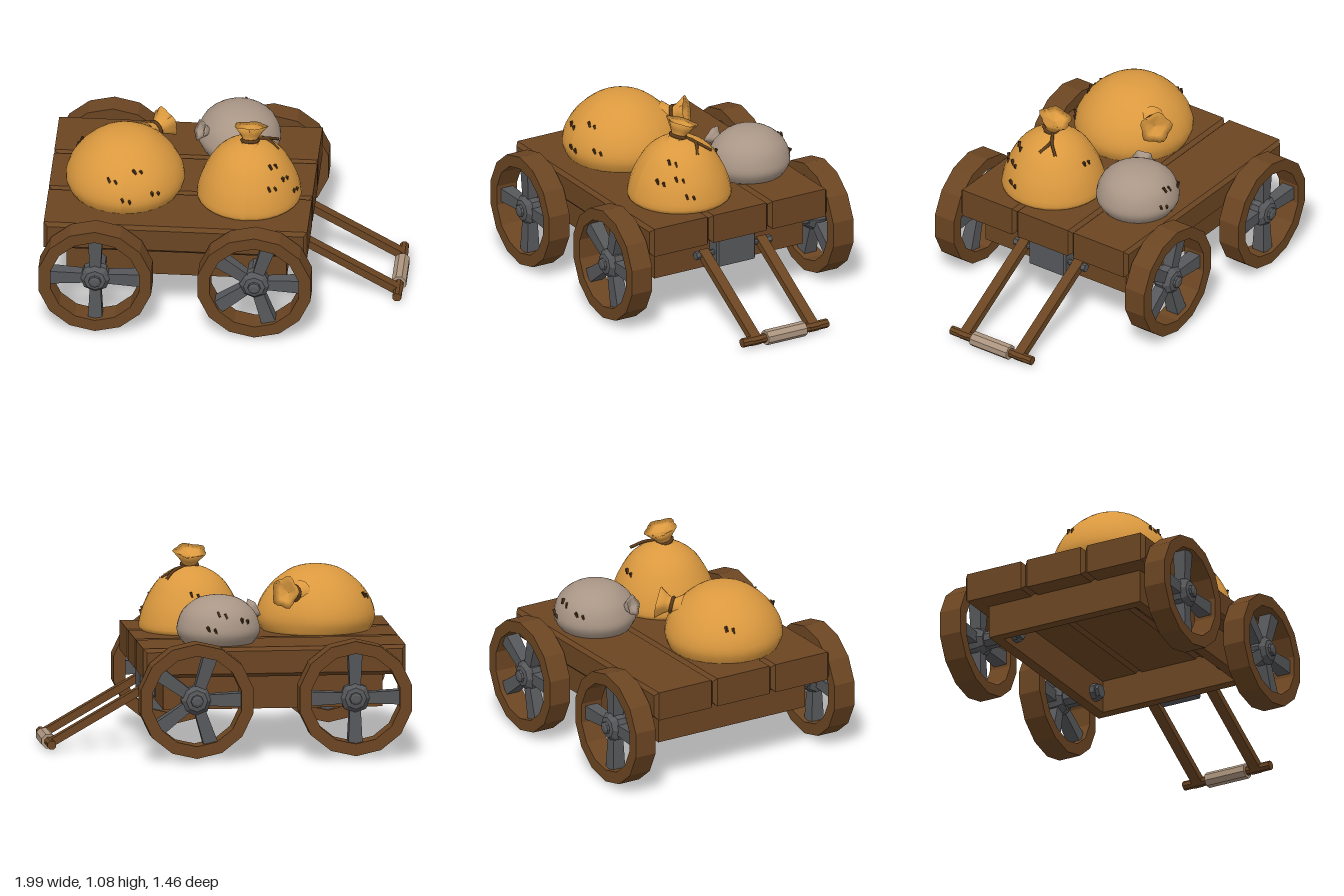
import * as THREE from 'three';

const mat = (name, color, side = THREE.FrontSide) => {
  const m = new THREE.MeshStandardMaterial({ color, side });
  m.name = name;
  return m;
};
const V = (x, y, z) => new THREE.Vector3(x, y, z);

// Faceted normals for the low-poly wood and iron parts
function flat(geo) {
  const g = geo.index ? geo.toNonIndexed() : geo;
  g.computeVertexNormals();
  return g;
}

// Box with chamfered edges, centred on the origin
function chamferBox(w, h, d, b) {
  const x = w / 2 - b, y = h / 2 - b;
  const s = new THREE.Shape([[-x, -y], [x, -y], [x, y], [-x, y]].map(p => new THREE.Vector2(...p)));
  const g = new THREE.ExtrudeGeometry(s, {
    depth: d - 2 * b, bevelEnabled: true, bevelThickness: b, bevelSize: b, bevelSegments: 1,
  });
  return flat(g.translate(0, 0, b - d / 2));
}

export function createModel() {
  const wood = mat('wood', 0x6b4522);
  const iron = mat('iron', 0x56575a);
  const gold = mat('goldenCloth', 0xdb993f, THREE.DoubleSide);
  const grey = mat('greyCloth', 0xa99686, THREE.DoubleSide);
  const wrap = mat('gripWrap', 0xae9680);
  const rope = mat('rope', 0x5c3b1a);
  const thread = mat('thread', 0x4a3018);

  const model = new THREE.Group();
  model.name = 'sackCart';
  const add = (name, geo, material, x = 0, y = 0, z = 0, parent = model) => {
    const m = new THREE.Mesh(geo, material);
    m.name = name;
    m.position.set(x, y, z);
    parent.add(m);
    return m;
  };
  // Faceted rod lying along z
  const rodZ = (r, len, sides) =>
    flat(new THREE.CylinderGeometry(r, r, len, sides).rotateX(Math.PI / 2).rotateZ(Math.PI / sides));

  // Bed of three thick planks
  for (const z of [-0.381, 0, 0.381])
    add('bedPlank', chamferBox(1.46, 0.165, 0.381, 0.02), wood, -0.25, 0.533, z);

  // Open box frame under the bed
  for (const s of [-1, 1]) {
    add('frameSide', new THREE.BoxGeometry(1.22, 0.2, 0.06), wood, -0.25, 0.362, s * 0.45);
    add('frameEnd', new THREE.BoxGeometry(0.06, 0.2, 0.84), wood, -0.25 + s * 0.58, 0.362, 0);
  }

  // Wheels
  const ring = (r, Path) => new Path(Array.from({ length: 14 }, (_, i) => {
    const a = (i + 0.5) / 14 * Math.PI * 2;
    return new THREE.Vector2(Math.cos(a) * r, Math.sin(a) * r);
  }));
  const rimShape = ring(0.32, THREE.Shape);
  rimShape.holes.push(ring(0.252, THREE.Path));
  const rimGeo = new THREE.ExtrudeGeometry(rimShape, { depth: 0.13, bevelEnabled: false }).translate(0, 0, -0.065);
  const spokeGeo = flat(new THREE.CylinderGeometry(0.056, 0.042, 0.21, 4).rotateY(Math.PI / 4).translate(0, 0.15, 0));
  const hubGeo = flat(new THREE.LatheGeometry(
    [[0, -0.06], [0.06, -0.06], [0.086, -0.02], [0.086, 0.025], [0.06, 0.055], [0.036, 0.06], [0.034, 0.073], [0.02, 0.08], [0, 0.08]]
      .map(p => new THREE.Vector2(...p)), 8).rotateX(Math.PI / 2));

  function wheel(x, side, spokes) {
    const g = new THREE.Group();
    g.name = 'wheel';
    g.position.set(x, 0.34, side * 0.65);
    if (side < 0) g.rotation.y = Math.PI;
    add('rim', rimGeo, wood, 0, 0, 0, g);
    add('hub', hubGeo, iron, 0, 0, 0, g);
    for (let i = 0; i < spokes; i++) {
      const s = add('spoke', spokeGeo, iron, 0, 0, 0, g);
      s.rotation.z = i / spokes * Math.PI * 2 - (spokes === 5 ? 0.31 : 0);
    }
    model.add(g);
    add('axleStub', rodZ(0.05, 0.24, 8), iron, x, 0.34, side * 0.51);
    add('axleNut', rodZ(0.04, 0.05, 6), iron, x, 0.34, side * 0.395);
  }
  for (const side of [-1, 1]) {
    wheel(-0.685, side, 4);
    wheel(0.198, side, 5);
  }

  // Drawbar: bracket, hinge pin, two arms, crossbar and wrapped grip
  add('hitchBlock', chamferBox(0.09, 0.16, 0.25, 0.01), iron, 0.4, 0.362, 0);
  add('hingePin', rodZ(0.016, 0.46, 8), iron, 0.405, 0.36, 0);
  const start = V(0.405, 0.36, 0), end = V(0.955, 0.045, 0);
  for (const s of [-1, 1]) {
    add('hingeNut', rodZ(0.024, 0.025, 6), iron, 0.405, 0.36, s * 0.23);
    const arm = add('drawbarArm', new THREE.BoxGeometry(start.distanceTo(end) + 0.04, 0.042, 0.06), wood,
      0.68, 0.2025, s * 0.185);
    arm.rotation.z = Math.atan2(end.y - start.y, end.x - start.x);
  }
  add('crossbar', rodZ(0.026, 0.55, 8), wood, end.x, end.y, 0);
  add('grip', rodZ(0.043, 0.25, 8), wrap, end.x, end.y, 0);

  // Sacks: a lathed body drawn toward a tied, ruffled neck
  function sack(name, cloth, x, z, profile, neck, dir, size, stitches) {
    const g = new THREE.Group();
    g.name = name;
    g.position.set(x, 0.61, z);
    model.add(g);
    const curve = new THREE.SplineCurve(profile.map(p => new THREE.Vector2(...p)));
    const pts = curve.getPoints(18).map(p => new THREE.Vector2(Math.max(p.x, 0), p.y));
    const body = new THREE.LatheGeometry([new THREE.Vector2(0, 0), ...pts], 28);
    const n = V(...neck), p = body.attributes.position, v = V(0, 0, 0);
    for (let i = 0; i < p.count; i++) {
      v.fromBufferAttribute(p, i);
      if (v.y < 0.02) continue;
      v.lerp(n, 0.55 * Math.exp(-((v.distanceTo(n) / (size * 1.3)) ** 2)));
      p.setXYZ(i, v.x, v.y, v.z);
    }
    body.computeVertexNormals();
    add('sackBody', body, cloth, 0, 0, 0, g);

    const knot = new THREE.Group();
    knot.name = 'tiedNeck';
    knot.position.copy(n);
    knot.quaternion.setFromUnitVectors(V(0, 1, 0), V(...dir).normalize());
    knot.scale.setScalar(size / 0.1);
    g.add(knot);
    const ruffle = new THREE.LatheGeometry(
      [[0.08, -0.06], [0.045, -0.01], [0.042, 0.01], [0.06, 0.04], [0.092, 0.085], [0.055, 0.07], [0, 0.05]]
        .map(q => new THREE.Vector2(...q)), 20);
    const rp = ruffle.attributes.position;
    for (let i = 0; i < rp.count; i++) {
      const px = rp.getX(i), pz = rp.getZ(i), h = Math.max(0, rp.getY(i)) / 0.085;
      const k = 1 + 0.1 * h * Math.cos(5 * Math.atan2(pz, px));
      rp.setXYZ(i, px * k, rp.getY(i), pz * k);
    }
    ruffle.computeVertexNormals();
    add('ruffle', ruffle, cloth, 0, 0, 0, knot);
    add('tie', new THREE.TorusGeometry(0.044, 0.011, 6, 16).rotateX(Math.PI / 2), rope, 0, 0, 0, knot);

    // Pairs of short stitches, given as [degrees around from +x toward +z, height]
    for (const [deg, y] of stitches) {
      let j = pts.length - 1;
      while (j > 1 && pts[j - 1].y > y) j--;
      const a = pts[j - 1], b = pts[j];
      const r = a.x + (b.x - a.x) * (y - a.y) / (b.y - a.y);
      const slope = (a.x - b.x) / (b.y - a.y);
      for (const o of [-0.02, 0.02]) {
        const t = deg * Math.PI / 180 + o / Math.max(r, 0.05);
        const m = add('stitch', new THREE.BoxGeometry(0.011, 0.032, 0.014), thread,
          Math.cos(t) * r, y + o * 0.3, Math.sin(t) * r, g);
        m.lookAt(m.position.clone().add(V(Math.cos(t), slope, Math.sin(t))));
        m.rotateZ(0.35);
      }
    }
  }
  sack('uprightSack', gold, 0.13, 0.18,
    [[0.27, 0], [0.29, 0.03], [0.27, 0.12], [0.235, 0.2], [0.185, 0.28], [0.12, 0.335], [0.04, 0.365]],
    [0.005, 0.365, 0.01], [0, 0.93, -0.3], 0.098,
    [[30, 0.19], [42, 0.27], [55, 0.17], [18, 0.1], [270, 0.22]]);
  sack('largeSack', gold, -0.56, 0.135,
    [[0.3, 0], [0.33, 0.07], [0.31, 0.16], [0.25, 0.25], [0.16, 0.325], [0.08, 0.355], [0, 0.362]],
    [0.15, 0.235, -0.24], [0.55, 0.15, -0.6], 0.095,
    [[70, 0.24], [55, 0.12], [85, 0.1], [205, 0.2], [100, 0.2]]);
  sack('smallSack', grey, 0.035, -0.325,
    [[0.19, 0], [0.225, 0.05], [0.23, 0.1], [0.2, 0.18], [0.13, 0.24], [0.06, 0.262], [0, 0.266]],
    [-0.165, 0.15, 0.095], [-0.75, 0.35, 0.35], 0.062,
    [[270, 0.18], [235, 0.14], [285, 0.1]]);

  // Loose rope ends on the upright sack
  for (const tail of [[[0.17, 0.97, 0.16], [0.23, 0.95, 0.12], [0.28, 0.91, 0.06]],
    [[0.17, 0.97, 0.16], [0.22, 0.955, 0.13], [0.29, 0.905, 0.16]]]) {
    const c = new THREE.CatmullRomCurve3(tail.map(q => V(...q)));
    add('ropeEnd', new THREE.TubeGeometry(c, 8, 0.009, 6), rope);
  }
  return model;
}
